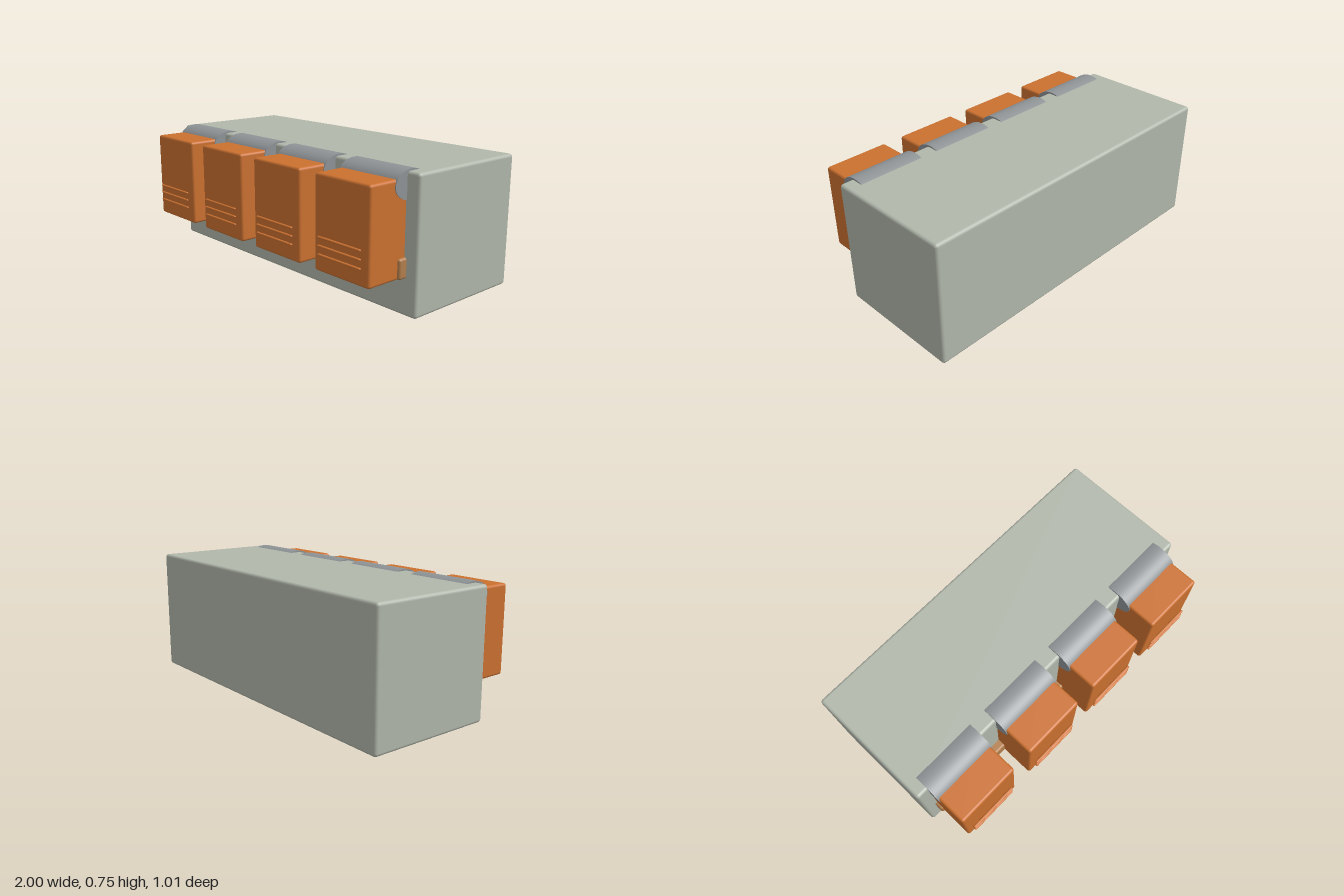
import * as THREE from 'three';
import { RoundedBoxGeometry } from 'three/addons/geometries/RoundedBoxGeometry.js';

const mat = (name, color) => new THREE.MeshStandardMaterial({ name, color });

export function createModel() {
  const model = new THREE.Group();
  model.name = 'cabinetWithPods';
  const shell = mat('paleGreyGreen', 0xb2b8ac);
  const orange = mat('orange', 0xcc7130);
  const tan = mat('tan', 0xb47f4d);
  const steel = mat('steelGrey', 0x8f9497);

  const add = (parent, name, geometry, material, x = 0, y = 0, z = 0) => {
    const mesh = new THREE.Mesh(geometry, material);
    mesh.name = name;
    mesh.position.set(x, y, z);
    parent.add(mesh);
    return mesh;
  };
  // Rounded box from its min and max corners
  const block = (parent, name, a, b, radius, material) => add(
    parent, name,
    new RoundedBoxGeometry(b[0] - a[0], b[1] - a[1], b[2] - a[2], 3, radius), material,
    (a[0] + b[0]) / 2, (a[1] + b[1]) / 2, (a[2] + b[2]) / 2);

  // Main body and the rail behind the pods
  block(model, 'body', [-1, 0.02, -0.505], [1, 0.743, 0.24], 0.018, shell);
  block(model, 'rail', [-0.94, 0.215, 0.18], [0.935, 0.322, 0.288], 0.014, tan);

  // Oval roller lying along x
  const rollerGeo = new THREE.CylinderGeometry(1, 1, 0.385, 40).rotateZ(Math.PI / 2);
  rollerGeo.scale(1, 0.076, 0.11);

  // Slim oval bar with rounded ends
  const slatGeo = new THREE.CapsuleGeometry(0.008, 0.28, 4, 12).rotateZ(Math.PI / 2);
  slatGeo.scale(1, 0.7, 1);

  // Sharp-rimmed disc, only its lower edge shows below the body
  const discGeo = new THREE.LatheGeometry(
    [[0, -0.05], [0.053, -0.024], [0.073, 0], [0.053, 0.015], [0, 0.05]]
      .map(([r, z]) => new THREE.Vector2(r, z)), 32).rotateX(Math.PI / 2);

  for (let i = 0; i < 4; i++) {
    const pod = new THREE.Group();
    pod.name = 'pod' + (i + 1);
    pod.position.x = -0.7375 + i * 0.49;
    model.add(pod);

    block(pod, 'podCase', [-0.188, 0.214, 0.19], [0.188, 0.712, 0.482], 0.015, orange);
    add(pod, 'roller', rollerGeo, steel, 0, 0.677, 0.21);
    for (const y of [0.31, 0.355, 0.4]) add(pod, 'slat', slatGeo, orange, 0, y, 0.497);
    add(pod, 'footDisc', discGeo, shell, 0.002, 0.073, -0.02);
  }
  return model;
}
